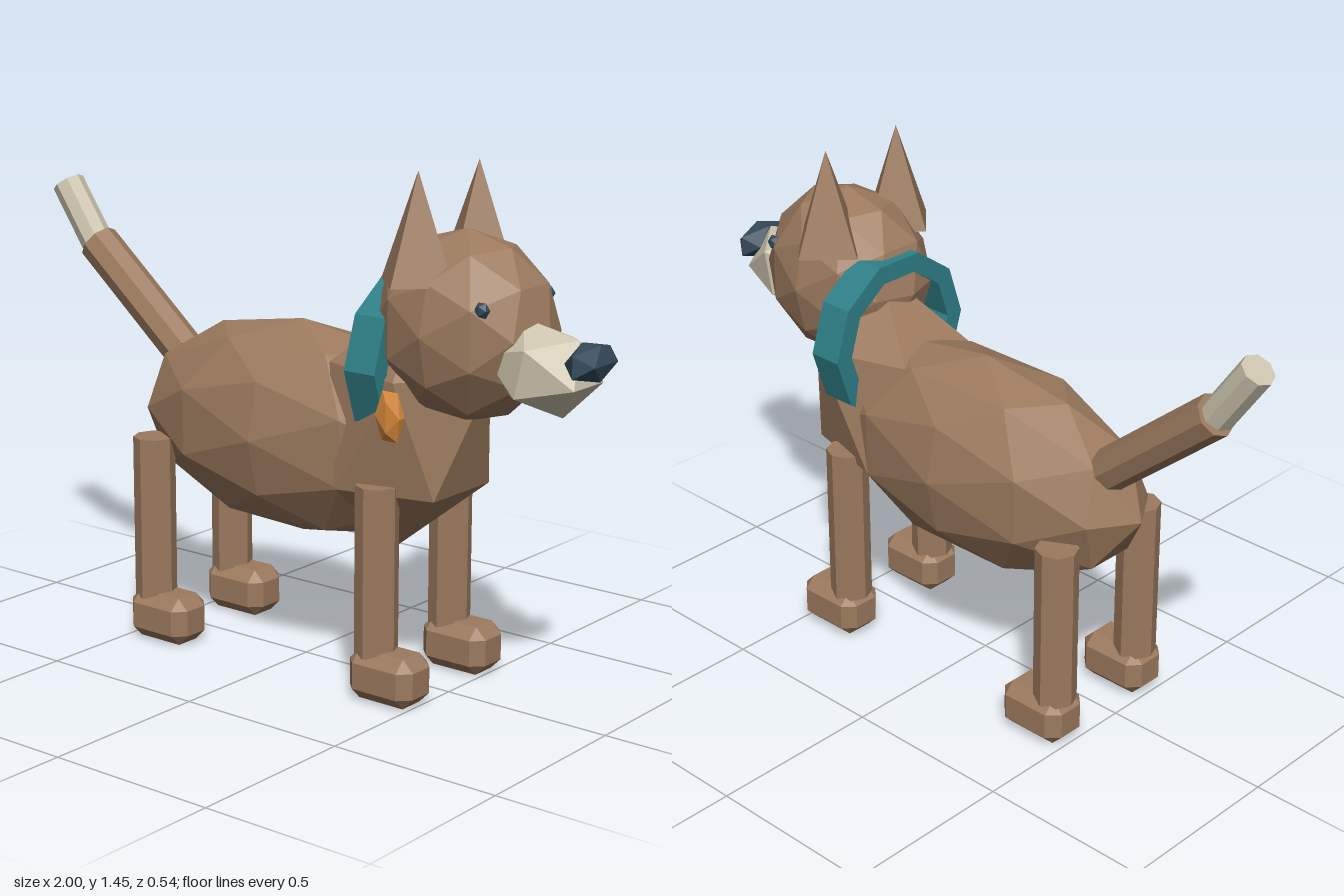
import * as THREE from 'three';
import { ConvexGeometry } from 'three/addons/geometries/ConvexGeometry.js';

const mat = (color) => new THREE.MeshStandardMaterial({ color, flatShading: true });

export function createModel() {
  const dog = new THREE.Group();
  dog.name = 'dog';
  const fur = mat(0x9c7a5e), cream = mat(0xccc4ae), dark = mat(0x34495a);
  const teal = mat(0x2f8088), orange = mat(0xd98a3d);

  const add = (name, geometry, material, x = 0, y = 0, z = 0) => {
    const mesh = new THREE.Mesh(geometry, material);
    mesh.name = name;
    mesh.position.set(x, y, z);
    dog.add(mesh);
    return mesh;
  };

  // Faceted ellipsoid with radii r
  const blob = (r, detail) => {
    const g = new THREE.IcosahedronGeometry(1, detail).scale(...r);
    g.computeVertexNormals();
    return g;
  };

  // Eight-sided rod between two points
  const rod = (name, a, b, radius, material) => {
    const from = new THREE.Vector3(...a), to = new THREE.Vector3(...b);
    const dir = to.clone().sub(from);
    const mid = from.clone().add(to).multiplyScalar(0.5);
    const mesh = add(name, new THREE.CylinderGeometry(radius, radius, dir.length(), 8), material, mid.x, mid.y, mid.z);
    mesh.quaternion.setFromUnitVectors(new THREE.Vector3(0, 1, 0), dir.normalize());
    return mesh;
  };

  // Box with flat chamfers of size c, given half sizes
  const chamferBox = (hx, hy, hz, c) => {
    const points = [];
    for (const i of [-1, 1]) for (const j of [-1, 1]) for (const k of [-1, 1]) {
      points.push(new THREE.Vector3(i * hx, j * (hy - c), k * (hz - c)));
      points.push(new THREE.Vector3(i * (hx - c), j * hy, k * (hz - c)));
      points.push(new THREE.Vector3(i * (hx - c), j * (hy - c), k * hz));
    }
    return new ConvexGeometry(points);
  };

  // Body, sheared neck and head
  add('body', blob([0.56, 0.305, 0.24], 1), fur, -0.03, 0.66, -0.025);
  const neck = new THREE.IcosahedronGeometry(1, 0).applyMatrix4(new THREE.Matrix4().makeBasis(
    new THREE.Vector3(0.206, -0.194, 0),
    new THREE.Vector3(0.18, 0.304, 0),
    new THREE.Vector3(0, 0, 0.24),
  ));
  neck.computeVertexNormals();
  add('neck', neck, fur, 0.345, 0.73, -0.017);
  add('head', blob([0.26, 0.257, 0.21], 1), fur, 0.55, 1.03, 0.015);

  // Snout and nose
  add('snout', blob([0.165, 0.125, 0.13], 0), cream, 0.81, 0.96, 0.045).rotation.z = -0.21;
  add('nose', blob([0.053, 0.056, 0.102], 0), dark, 0.952, 0.995, 0.045);

  // Ears and eyes
  for (const side of [1, -1]) {
    add('ear', new THREE.ConeGeometry(0.115, 0.29, 4), fur, 0.488, 1.3, 0.015 + side * 0.135);
    add('eye', blob([0.022, 0.023, 0.018], 0), dark, 0.702, 1.113, 0.017 + side * 0.148);
  }

  // Legs and paws
  for (const x of [-0.44, 0.362]) {
    for (const z of [0.147, -0.19]) {
      rod('leg', [x, 0.12, z], [x, 0.595, z], 0.06, fur);
      add('paw', chamferBox(0.106, 0.07, 0.07, 0.033), fur, x + 0.046, 0.07, z);
    }
  }

  // Tail and its pale tip
  rod('tail', [-0.5, 0.8, -0.055], [-0.84, 1.085, -0.055], 0.06, fur);
  rod('tailTip', [-0.845, 1.085, -0.055], [-0.96, 1.25, -0.055], 0.048, cream);

  // Ten-sided collar band around the neck
  const ring = (radius) => Array.from({ length: 10 }, (_, i) => {
    const a = (i / 10) * Math.PI * 2;
    return new THREE.Vector2(radius * Math.cos(a), radius * Math.sin(a));
  });
  const band = new THREE.Shape(ring(0.245));
  band.holes.push(new THREE.Path(ring(0.19)));
  const collar = new THREE.ExtrudeGeometry(band, { depth: 0.1, bevelEnabled: false });
  add('collar', collar, teal, 0.305, 0.91, -0.025).rotation.y = Math.PI / 2;

  // Hanging tag
  add('tag', blob([0.047, 0.078, 0.022], 0), orange, 0.457, 0.81, 0.22);

  return dog;
}
